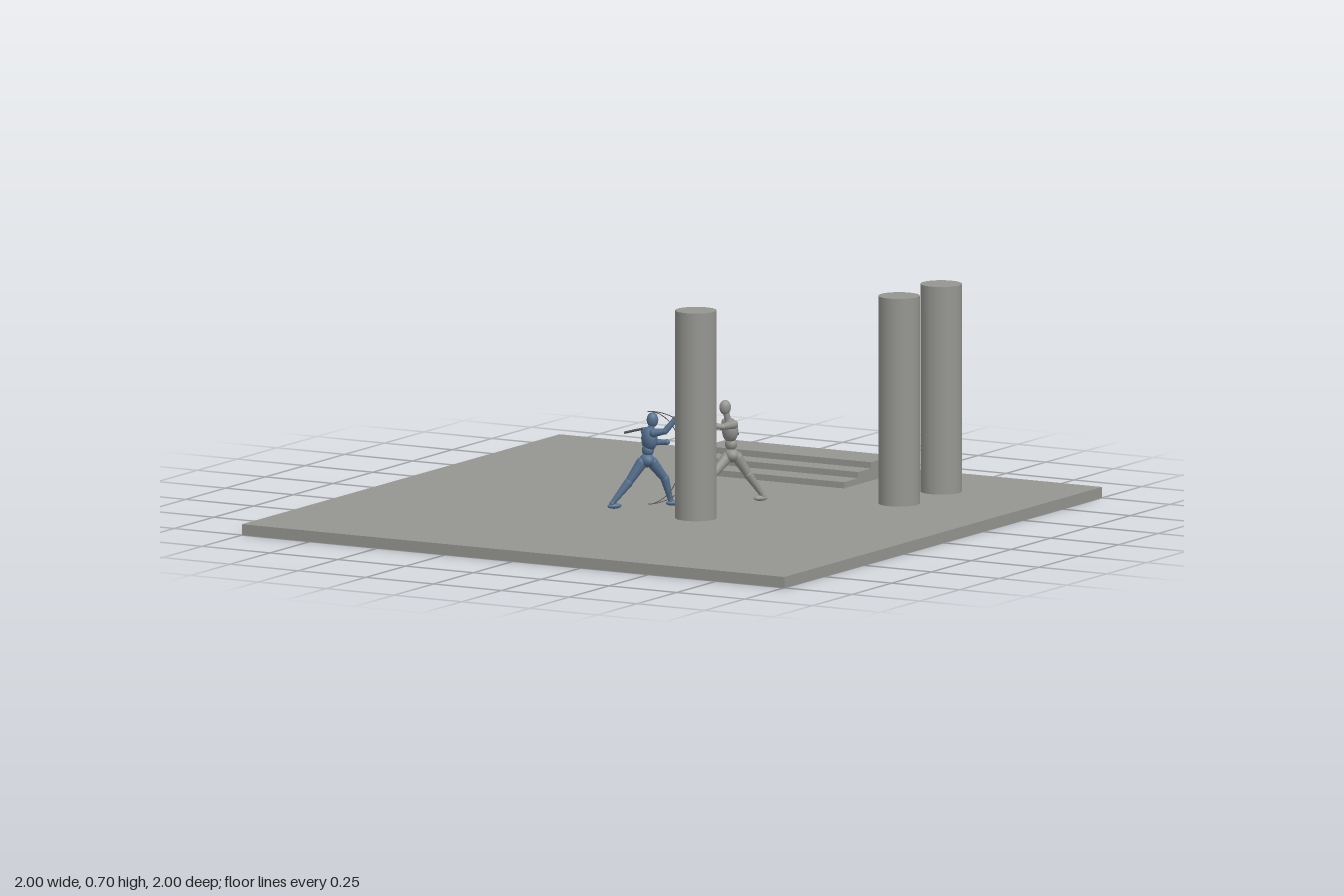
import * as THREE from 'three';

const V = (p) => new THREE.Vector3(...p);

function material(name, color) {
  const m = new THREE.MeshStandardMaterial({ color });
  m.name = name;
  return m;
}

function add(parent, name, geometry, mat, position = [0, 0, 0]) {
  const mesh = new THREE.Mesh(geometry, mat);
  mesh.name = name;
  mesh.position.set(...position);
  parent.add(mesh);
  return mesh;
}

// Tapered round bar between two points
function bar(parent, name, a, b, ra, rb, mat) {
  const start = V(a), end = V(b), dir = end.clone().sub(start);
  const mesh = add(parent, name, new THREE.CylinderGeometry(rb, ra, dir.length(), 12), mat);
  mesh.position.copy(start).lerp(end, 0.5);
  mesh.quaternion.setFromUnitVectors(new THREE.Vector3(0, 1, 0), dir.normalize());
  return mesh;
}

// Ellipsoid turned about the vertical axis
function ball(parent, name, center, radii, mat, turn = 0) {
  const mesh = add(parent, name, new THREE.SphereGeometry(1, 16, 12), mat, center);
  mesh.scale.set(...radii);
  mesh.rotation.y = turn;
  return mesh;
}

// Jointed limb: two tapered segments with round joints
function limb(parent, name, points, radii, mat) {
  const group = new THREE.Group();
  group.name = name;
  parent.add(group);
  points.forEach((p, i) => {
    ball(group, name + 'Joint', p, [radii[i], radii[i], radii[i]], mat);
    if (i) bar(group, name + 'Segment', points[i - 1], p, radii[i - 1], radii[i] * 0.9, mat);
  });
}

// Jointed mannequin fighter
function fighter(name, pose, mat) {
  const group = new THREE.Group();
  group.name = name;
  const { turn } = pose;
  ball(group, 'head', pose.head, [0.016, 0.024, 0.019], mat, turn);
  bar(group, 'neck', pose.chest, pose.head, 0.012, 0.009, mat);
  ball(group, 'chest', pose.chest, [0.034, 0.04, 0.025], mat, turn);
  ball(group, 'abdomen', pose.waist, [0.022, 0.021, 0.019], mat, turn);
  ball(group, 'pelvis', pose.pelvis, [0.029, 0.023, 0.024], mat, turn);
  pose.arms.forEach((arm) => limb(group, 'arm', arm, [0.014, 0.0105, 0.0095], mat));
  pose.legs.forEach((leg) => {
    limb(group, 'leg', leg, [0.0185, 0.0145, 0.009], mat);
    const [x, y, z] = leg[2];
    const s = 0.008;
    ball(group, 'foot', [x + Math.sin(turn) * s, y - 0.008, z + Math.cos(turn) * s],
      [0.011, 0.009, 0.024], mat, turn);
  });
  return group;
}

export function createModel() {
  const model = new THREE.Group();
  const stone = material('stone', 0x959691);
  const grey = material('greyFigure', 0x92928f);
  const blue = material('blueFigure', 0x55708f);
  const dark = material('darkMetal', 0x555555);

  // Floor slab and columns
  add(model, 'floor', new THREE.BoxGeometry(2, 0.035, 2), stone, [0, 0.0175, 0]);
  for (const [x, z] of [[0.185, 0.165], [0.6, -0.67], [0.6, -0.405]]) {
    add(model, 'column', new THREE.CylinderGeometry(0.066, 0.066, 0.67, 40), stone, [x, 0.37, z]);
  }

  // Three steps rising towards the back
  [[-0.56, -0.65, 0.055], [-0.65, -0.73, 0.075], [-0.73, -0.88, 0.095]].forEach(([z0, z1, top]) => {
    add(model, 'step', new THREE.BoxGeometry(0.615, top - 0.035, z0 - z1), stone,
      [-0.002, (top + 0.035) / 2, (z0 + z1) / 2]);
  });

  // Grey fighter leaning into a long thrust
  const greyFighter = fighter('greyFighter', {
    turn: -0.67,
    head: [0.118, 0.343, -0.133], chest: [0.128, 0.268, -0.147],
    waist: [0.131, 0.223, -0.148], pelvis: [0.133, 0.188, -0.147],
    arms: [
      [[0.155, 0.292, -0.125], [0.142, 0.29, -0.078], [0.103, 0.297, -0.04]],
      [[0.1, 0.288, -0.168], [0.07, 0.255, -0.215], [0.092, 0.256, -0.193]],
    ],
    legs: [
      [[0.122, 0.18, -0.135], [0.1, 0.125, -0.075], [0.068, 0.053, -0.03]],
      [[0.148, 0.18, -0.158], [0.173, 0.123, -0.185], [0.205, 0.053, -0.222]],
    ],
  }, grey);
  bar(greyFighter, 'staff', [0.085, 0.235, -0.27], [0.12, 0.358, 0.17], 0.004, 0.003, dark);
  model.add(greyFighter);

  // Blue fighter with a raised guard
  const blueFighter = fighter('blueFighter', {
    turn: 2.4,
    head: [-0.038, 0.317, 0.058], chest: [-0.045, 0.256, 0.066],
    waist: [-0.048, 0.22, 0.07], pelvis: [-0.05, 0.188, 0.072],
    arms: [
      [[-0.018, 0.28, 0.085], [0.018, 0.287, 0.075], [0.045, 0.326, 0.055]],
      [[-0.073, 0.275, 0.045], [-0.07, 0.235, 0.012], [-0.02, 0.238, -0.002]],
    ],
    legs: [
      [[-0.038, 0.18, 0.06], [-0.012, 0.125, 0.025], [0, 0.053, 0.008]],
      [[-0.062, 0.18, 0.085], [-0.093, 0.118, 0.115], [-0.13, 0.053, 0.155]],
    ],
  }, blue);
  bar(blueFighter, 'blade', [0.04, 0.332, 0.063], [0.115, 0.303, -0.03], 0.003, 0.002, dark);
  bar(blueFighter, 'scabbard', [-0.132, 0.27, 0.075], [-0.075, 0.285, 0.055], 0.004, 0.004, dark);

  // Slender vertical crescent swung towards the opponent
  for (const reach of [0.16, 0.11]) {
    const points = Array.from({ length: 17 }, (_, i) => {
      const a = Math.PI * (i / 16 - 0.5), r = Math.cos(a) * reach;
      return new THREE.Vector3(-0.05 + r * 0.74, 0.195 + Math.sin(a) * 0.15, 0.07 - r * 0.68);
    });
    add(blueFighter, 'crescent', new THREE.TubeGeometry(new THREE.CatmullRomCurve3(points), 40, 0.0015, 5), dark);
  }
  model.add(blueFighter);
  return model;
}
